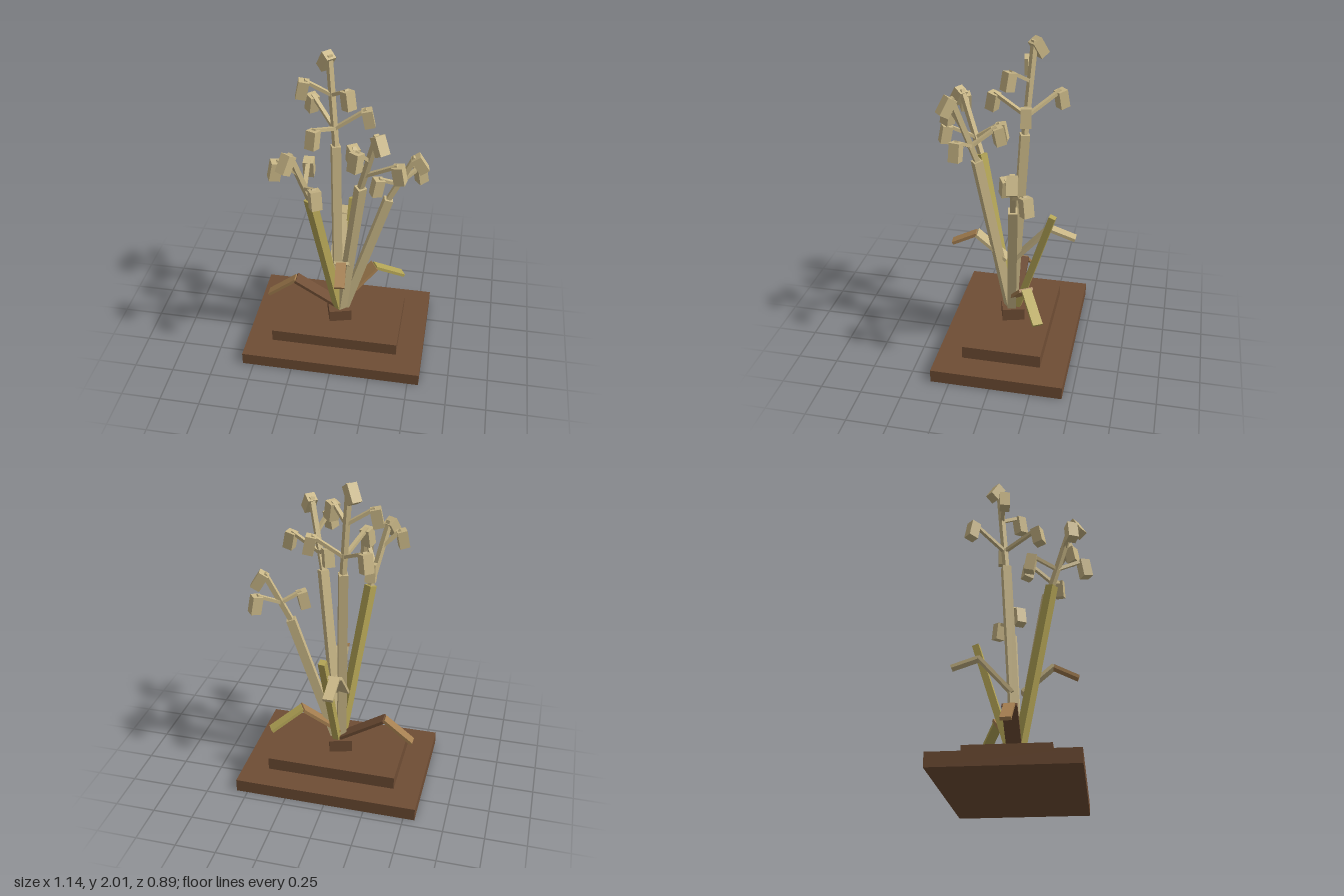
import * as THREE from 'three';

const mat = (name, color) => {
  const m = new THREE.MeshStandardMaterial({ color });
  m.name = name;
  return m;
};
const V = (a) => new THREE.Vector3(...a);

export function createModel() {
  const root = new THREE.Group();
  root.name = 'driedPlantOnPlinth';
  const soil = mat('soil brown', 0x6f4d34);
  const straw = mat('pale straw', 0xc8b686);
  const olive = mat('olive straw', 0xb4a556);
  const tan = mat('dry leaf tan', 0xa57f50);

  // Square or flat bar between two points; its flat side faces up
  function bar(parent, name, a, b, w, t, material) {
    const dir = b.clone().sub(a);
    const len = dir.length();
    dir.normalize();
    const side = dir.clone().cross(new THREE.Vector3(0, 1, 0)).normalize();
    const normal = side.clone().cross(dir);
    const mesh = new THREE.Mesh(new THREE.BoxGeometry(w, len, t), material);
    mesh.quaternion.setFromRotationMatrix(new THREE.Matrix4().makeBasis(side, dir, normal));
    mesh.position.copy(a).add(b).multiplyScalar(0.5);
    mesh.name = name;
    parent.add(mesh);
  }

  // Stepped plinth
  function block(name, x, y, z, w, h, d, turn = 0) {
    const mesh = new THREE.Mesh(new THREE.BoxGeometry(w, h, d), soil);
    mesh.position.set(x, y + h / 2, z);
    mesh.rotation.y = turn;
    mesh.name = name;
    root.add(mesh);
  }
  block('lowerStep', 0, 0, -0.04, 1.14, 0.082, 0.81);
  block('upperStep', 0, 0.082, -0.04, 0.814, 0.082, 0.488);
  block('soilClump', -0.002, 0.164, -0.033, 0.145, 0.081, 0.14, 0.27);

  // Hanging seed head: tilts outward from the stem towards its lower end
  function seedHead(parent, centre, out, tilt) {
    const axis = new THREE.Vector3(out.x * tilt, -1, out.z * tilt).normalize();
    const top = centre.clone().addScaledVector(axis, -0.055);
    const bottom = centre.clone().addScaledVector(axis, 0.055);
    bar(parent, 'seedHead', top, bottom, 0.062, 0.062, straw);
    return top;
  }

  // Stems: thick stalk, thin upper stalk with a tip head, and side heads as [nodeHeight, centre]
  const stems = [
    {
      foot: [-0.01, 0.22, -0.03], joint: [-0.035, 1.43, -0.095], head: [-0.1, 1.942, -0.158], color: straw,
      sides: [
        [1.75, [-0.225, 1.79, -0.085]], [1.75, [0.05, 1.78, -0.015]],
        [1.54, [-0.21, 1.6, -0.283]], [1.54, [0.15, 1.61, -0.135]], [1.54, [-0.13, 1.585, 0.115]],
      ],
    },
    {
      foot: [0, 0.22, -0.02], joint: [-0.135, 1.23, 0.195], head: [-0.232, 1.56, 0.355], color: olive,
      sides: [
        [1.46, [-0.3, 1.5, 0.328]], [1.33, [-0.065, 1.375, 0.395]], [1.33, [-0.163, 1.375, 0.07]],
      ],
    },
    {
      foot: [0.01, 0.22, -0.02], joint: [0.152, 1.32, 0.152], head: [0.272, 1.69, 0.29], color: straw,
      sides: [
        [1.54, [0.145, 1.59, 0.315]], [1.42, [0.375, 1.47, 0.215]], [1.42, [0.088, 1.46, 0.035]],
      ],
    },
    {
      foot: [0.025, 0.22, -0.03], joint: [0.29, 1.09, -0.09], head: [0.465, 1.34, -0.12], color: straw,
      sides: [[1.2, [0.468, 1.22, -0.2]], [1.2, [0.225, 1.205, -0.035]]],
    },
  ];
  for (const s of stems) {
    const stem = new THREE.Group();
    stem.name = 'stem';
    root.add(stem);
    const foot = V(s.foot), joint = V(s.joint), headCentre = V(s.head);
    const out = headCentre.clone().sub(joint).setY(0).normalize();
    const tip = seedHead(stem, headCentre, out, 0.62);
    bar(stem, 'lowerStalk', foot, joint, 0.054, 0.054, s.color);
    bar(stem, 'upperStalk', joint, tip, 0.03, 0.03, straw);
    for (const [y, c] of s.sides) {
      const node = joint.clone().lerp(tip, (y - joint.y) / (tip.y - joint.y));
      const centre = V(c);
      const away = centre.clone().sub(node).setY(0).normalize();
      const top = seedHead(stem, centre, away, 0.2);
      bar(stem, 'branch', node, top, 0.024, 0.02, straw);
    }
  }

  // Bent leaves: rising half, then drooping half
  const leaves = [
    [[-0.01, 0.25, -0.04], [-0.29, 0.425, -0.04], [-0.472, 0.28, -0.04], soil, tan],
    [[0.01, 0.3, -0.04], [0.21, 0.505, -0.158], [0.385, 0.38, -0.262], tan, olive],
    [[-0.02, 0.59, -0.05], [-0.025, 0.82, -0.255], [-0.025, 0.765, -0.42], straw, straw],
    [[0.03, 0.61, 0.0], [0.045, 0.775, 0.185], [0.06, 0.705, 0.335], straw, tan],
  ];
  for (const [a, b, c, inner, outer] of leaves) {
    const leaf = new THREE.Group();
    leaf.name = 'leaf';
    root.add(leaf);
    bar(leaf, 'leafBase', V(a), V(b), 0.088, 0.02, inner);
    bar(leaf, 'leafTip', V(b), V(c), 0.062, 0.02, outer);
  }

  // Bare upright shoot
  bar(root, 'shoot', V([0.01, 0.22, -0.06]), V([0.042, 0.935, -0.285]), 0.042, 0.042, olive);

  return root;
}
